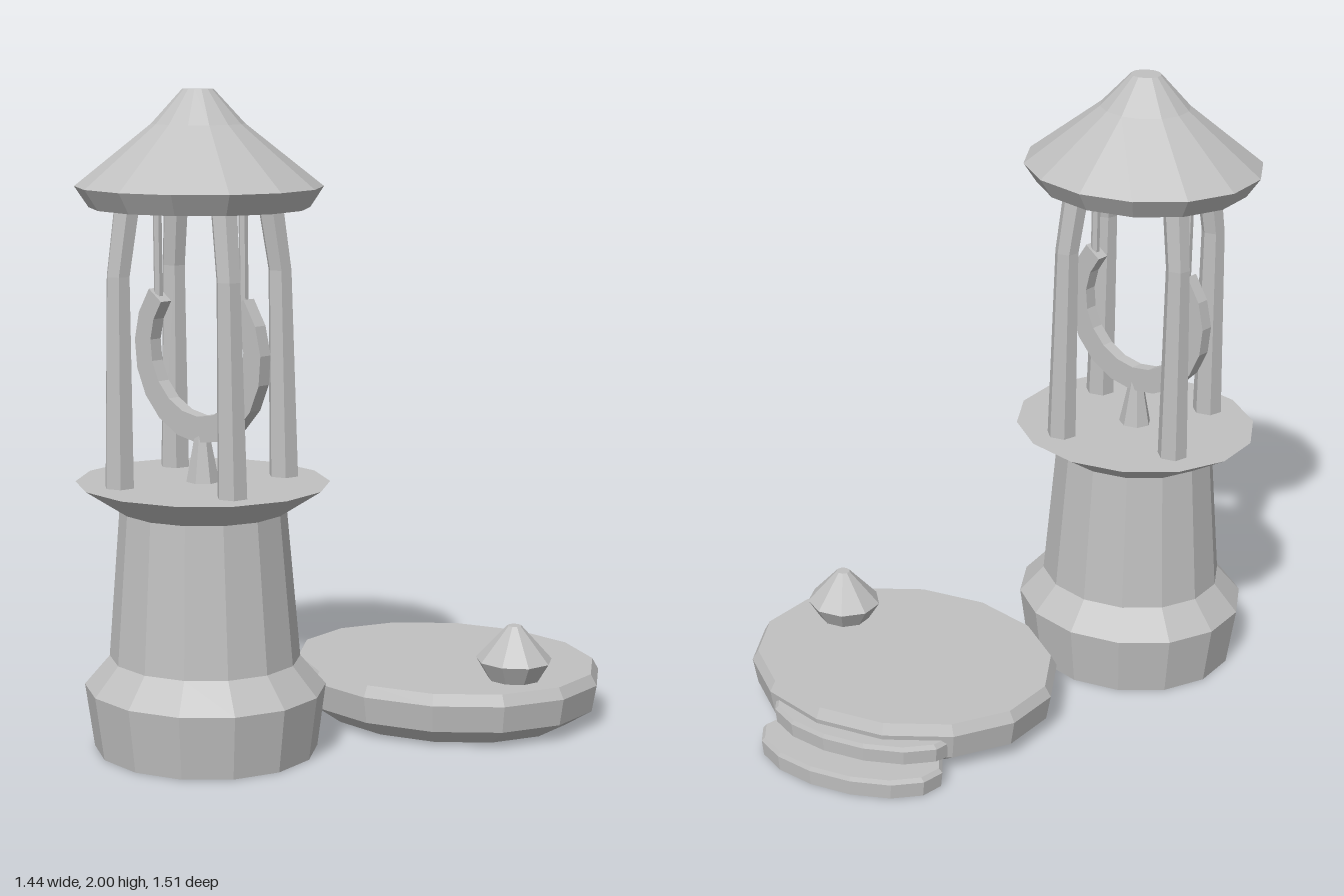
import * as THREE from 'three';

export function createModel() {
  const model = new THREE.Group();
  const stone = new THREE.MeshStandardMaterial({ color: 0xc0c0c0, flatShading: true, side: THREE.DoubleSide });
  stone.name = 'stone grey';

  const add = (parent, name, geometry, x = 0, y = 0, z = 0) => {
    const mesh = new THREE.Mesh(geometry, stone);
    mesh.name = name;
    mesh.position.set(x, y, z);
    parent.add(mesh);
    return mesh;
  };
  // Faceted turned shape from [radius, height] points, listed from the bottom up
  const turned = (points, sides = 14, start = Math.PI / 2) =>
    new THREE.LatheGeometry(points.map(p => new THREE.Vector2(...p)), sides, start);

  // Tower, slightly narrower from front to back
  const tower = new THREE.Group();
  tower.name = 'tower';
  tower.position.set(-0.335, 0, 0.407);
  tower.scale.z = 0.907;
  model.add(tower);

  add(tower, 'towerBase', turned([
    [0.348, 0], [0.375, 0.197], [0.296, 0.287], [0.257, 0.745], [0.39, 0.83], [0, 0.83],
  ]));
  add(tower, 'roof', turned([
    [0.332, 1.655], [0.374, 1.717], [0.14, 1.9], [0.047, 2], [0, 2],
  ]));

  // Four tapered posts that bend inwards near the top
  const rows = [ // height, x, z, radius, from top to bottom
    [1.74, 0.15, 0.16, 0.043], [1.46, 0.18, 0.19, 0.038], [0.83, 0.187, 0.193, 0.048],
  ];
  for (const sx of [-1, 1]) for (const sz of [-1, 1]) {
    const post = new THREE.CylinderGeometry(1, 1, 2, 6, 2, true, Math.PI / 6);
    const p = post.attributes.position;
    for (let i = 0; i < p.count; i++) {
      const [y, x, z, r] = rows[1 - Math.round(p.getY(i))];
      p.setXYZ(i, sx * x + p.getX(i) * r, y, sz * z + p.getZ(i) * r);
    }
    post.computeVertexNormals();
    add(tower, 'post', post);
  }

  // Hanging open ring with its two rods
  const hanger = new THREE.Group();
  hanger.name = 'hanger';
  hanger.rotation.y = -0.35;
  tower.add(hanger);
  const ring = new THREE.Shape();
  const steps = 14, from = Math.PI * 0.77, to = Math.PI * 2.23;
  const outline = [];
  for (let i = 0; i <= steps; i++) {
    const a = from + (to - from) * i / steps;
    outline.push(new THREE.Vector2(Math.cos(a) * 0.27, 1.22 + Math.sin(a) * 0.27));
  }
  for (let i = steps; i >= 0; i--) {
    const a = from + (to - from) * i / steps;
    outline.push(new THREE.Vector2(Math.cos(a) * 0.2, 1.23 + Math.sin(a) * 0.2));
  }
  ring.setFromPoints(outline);
  add(hanger, 'ring', new THREE.ExtrudeGeometry(ring, { depth: 0.044, bevelEnabled: false }), 0, 0, -0.022);
  for (const s of [-1, 1])
    add(hanger, 'rod', new THREE.CylinderGeometry(0.014, 0.014, 0.42, 6), s * 0.183, 1.57, 0);

  add(tower, 'pedestal', new THREE.CylinderGeometry(0.022, 0.052, 0.15, 7), 0, 0.905, 0);

  // Round platform
  const platform = add(model, 'platform', turned([
    [0, 0], [0.41, 0], [0.495, 0.055], [0.51, 0.14], [0.49, 0.175], [0, 0.175],
  ]), 0.21, 0, -0.219);
  platform.scale.z = 0.805;

  // Two curved steps behind the platform
  [['lowerStep', 0, -0.609], ['upperStep', 0.06, -0.515]].forEach(([name, y, z]) => {
    const step = add(model, name, turned([[0.305, 0], [0.31, 0.05], [0.298, 0.064], [0, 0.064]]), 0.21, y, z);
    step.scale.z = 0.5;
  });

  // Small pointed ornament on the platform
  const ornament = add(model, 'ornament', turned([
    [0.08, 0.17], [0.121, 0.236], [0.022, 0.345], [0, 0.345],
  ], 9, 0), 0.491, 0, -0.086);
  ornament.scale.z = 0.907;

  return model;
}
